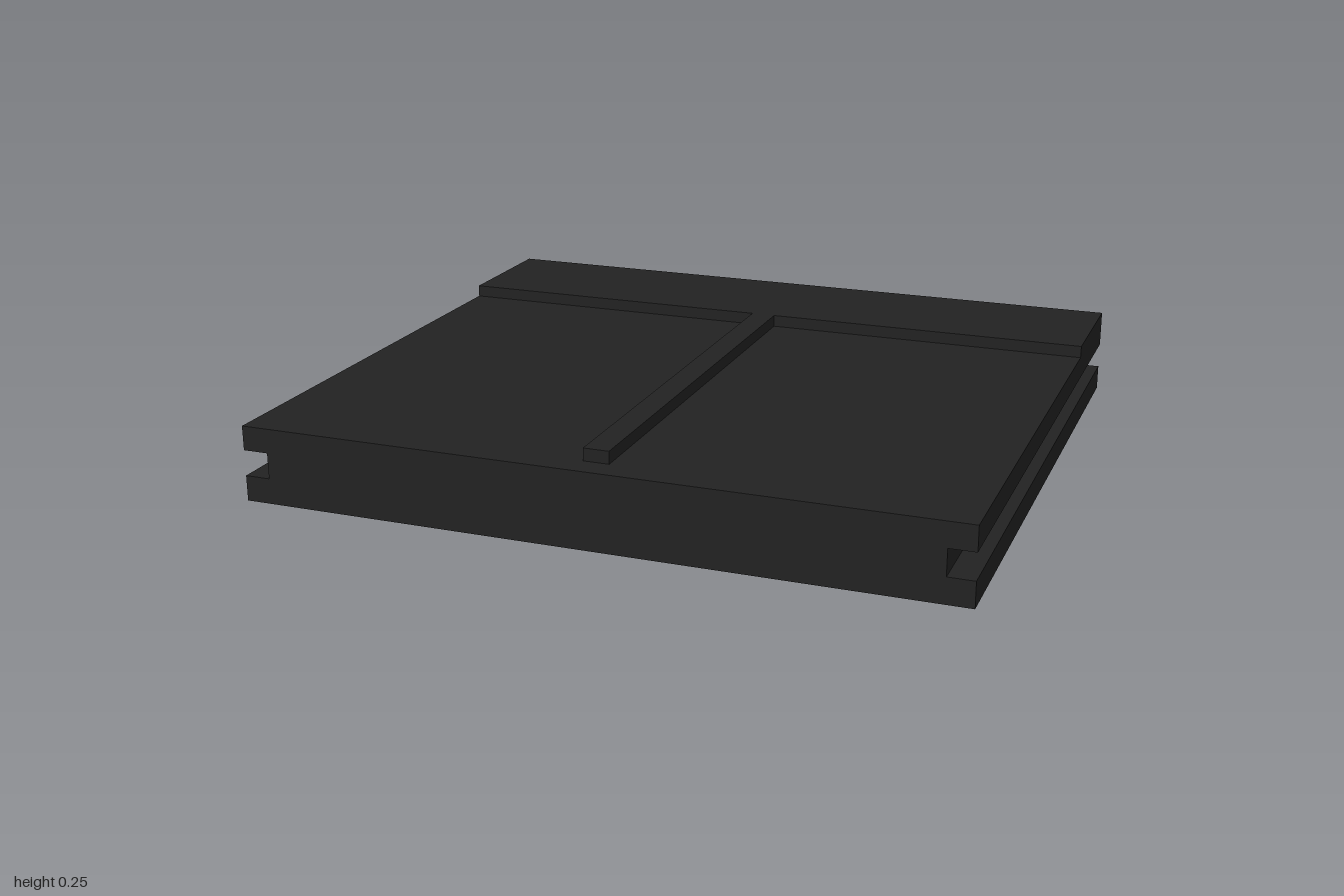
import * as THREE from 'three';

export function createModel() {
  const group = new THREE.Group();
  const black = new THREE.MeshStandardMaterial({ color: 0x222222 });
  black.name = 'black';

  // Extrude a closed outline of [x, y] points
  const extrude = (points, depth) => new THREE.ExtrudeGeometry(
    new THREE.Shape(points.map(([x, y]) => new THREE.Vector2(x, y))),
    { depth, bevelEnabled: false });

  const addPart = (name, geometry) => {
    const mesh = new THREE.Mesh(geometry, black);
    mesh.name = name;
    group.add(mesh);
  };

  const halfDepth = 0.89, baseTop = 0.214, top = 0.249;

  // Base slab with a slot running along each side
  const rightEdge = [[1, 0], [1, 0.072], [0.928, 0.072], [0.928, 0.145], [1, 0.145], [1, baseTop]];
  const leftEdge = rightEdge.map(([x, y]) => [-x, y]).reverse();
  const slab = extrude([...rightEdge, ...leftEdge], halfDepth * 2);
  slab.translate(0, 0, -halfDepth);
  addPart('slottedBase', slab);

  // Raised T: rear ledge and central divider (outline y becomes -z)
  const ledgeFront = 0.502, dividerFront = -0.818, w = 0.036;
  const tee = extrude([
    [-1, halfDepth], [-1, ledgeFront], [-w, ledgeFront], [-w, dividerFront],
    [w, dividerFront], [w, ledgeFront], [1, ledgeFront], [1, halfDepth],
  ], top - baseTop);
  tee.rotateX(-Math.PI / 2);
  tee.translate(0, baseTop, 0);
  addPart('raisedLedgeAndDivider', tee);

  return group;
}
